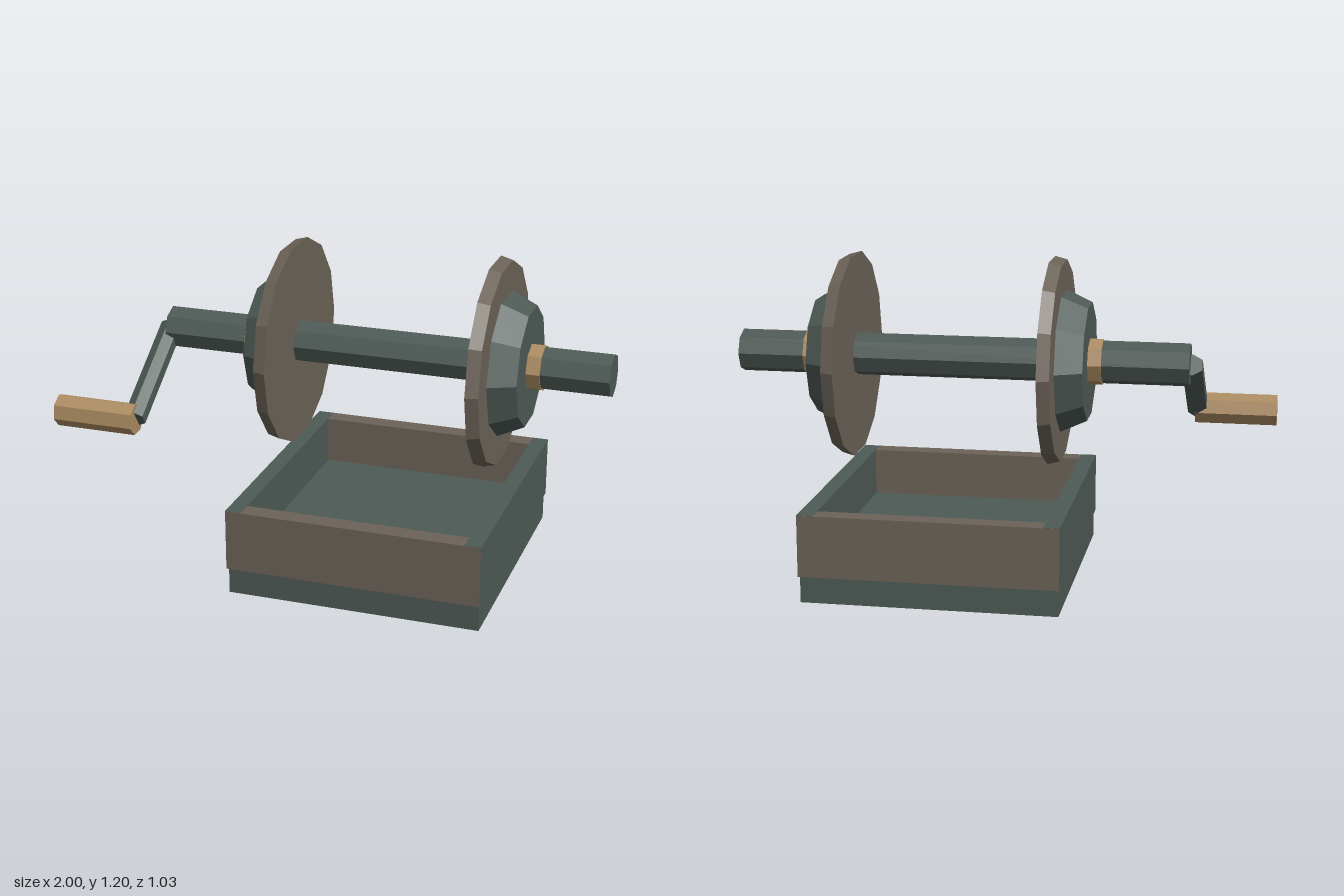
import * as THREE from 'three';

export function createModel() {
  const model = new THREE.Group();
  model.name = 'handCrankedWinch';

  const mat = (name, color) => Object.assign(new THREE.MeshStandardMaterial({ color }), { name });
  const steel = mat('dark green steel', 0x4e5a56);
  const iron = mat('brown iron', 0x6c6358);
  const brass = mat('tan brass', 0xac8c62);

  // Adds a mesh with faceted normals
  function add(name, geometry, material) {
    const flat = geometry.index ? geometry.toNonIndexed() : geometry;
    flat.computeVertexNormals();
    const mesh = new THREE.Mesh(flat, material);
    mesh.name = name;
    model.add(mesh);
    return mesh;
  }

  // Prism lying along x from x0 to x1, with a radius at each end
  function rod(x0, x1, r0, r1, sides, y, z, start = 0) {
    return new THREE.CylinderGeometry(r1, r0, x1 - x0, sides, 1, false, start)
      .rotateZ(-Math.PI / 2)
      .translate((x0 + x1) / 2, y, z);
  }

  function box(x0, x1, y0, y1, z0, z1) {
    return new THREE.BoxGeometry(x1 - x0, y1 - y0, z1 - z0)
      .translate((x0 + x1) / 2, (y0 + y1) / 2, (z0 + z1) / 2);
  }

  const midX = 0.19;
  const axleY = 0.82;

  // Axle
  add('axle', rod(-0.69, 1, 0.08, 0.08, 8, axleY, 0), steel);

  // Flange, tapered hub and collar at each end of the drum
  for (const [side, s] of [['left', 1], ['right', -1]]) {
    const disc = (inner, outer, rInner, rOuter, sides) => s > 0
      ? rod(midX + inner, midX + outer, rInner, rOuter, sides, axleY, 0)
      : rod(midX - outer, midX - inner, rOuter, rInner, sides, axleY, 0);
    add(side + 'Flange', disc(0.367, 0.413, 0.385, 0.373, 14), iron);
    add(side + 'Hub', disc(0.411, 0.51, 0.265, 0.22, 10), steel);
    add(side + 'Collar', disc(0.505, 0.56, 0.086, 0.086, 8), brass);
  }

  // Crank arm and grip
  const gripY = 0.577, gripZ = 0.363;
  const arm = add('crankArm',
    new THREE.CylinderGeometry(0.042, 0.042, Math.hypot(gripZ, gripY - axleY), 6), steel);
  arm.position.set(-0.697, (axleY + gripY) / 2, gripZ / 2);
  arm.rotation.x = Math.atan2(gripZ, gripY - axleY);
  add('crankGrip', rod(-1, -0.69, 0.06, 0.06, 7, gripY, gripZ,
    THREE.MathUtils.degToRad(-85)), brass);

  // Tray: base with its floor, side walls and end walls
  add('trayBase', box(midX - 0.47, midX + 0.47, 0, 0.15, -0.5, 0.5), steel);
  for (const s of [1, -1]) {
    const side = box(-0.03, 0.03, 0.1, 0.33, -0.513, 0.513).translate(midX + s * 0.445, 0, 0);
    add(s > 0 ? 'leftTrayWall' : 'rightTrayWall', side, steel);
    const end = box(midX - 0.474, midX + 0.474, 0.101, 0.329, -0.035, 0.035).translate(0, 0, s * 0.48);
    add(s > 0 ? 'frontTrayWall' : 'backTrayWall', end, iron);
  }

  return model;
}
